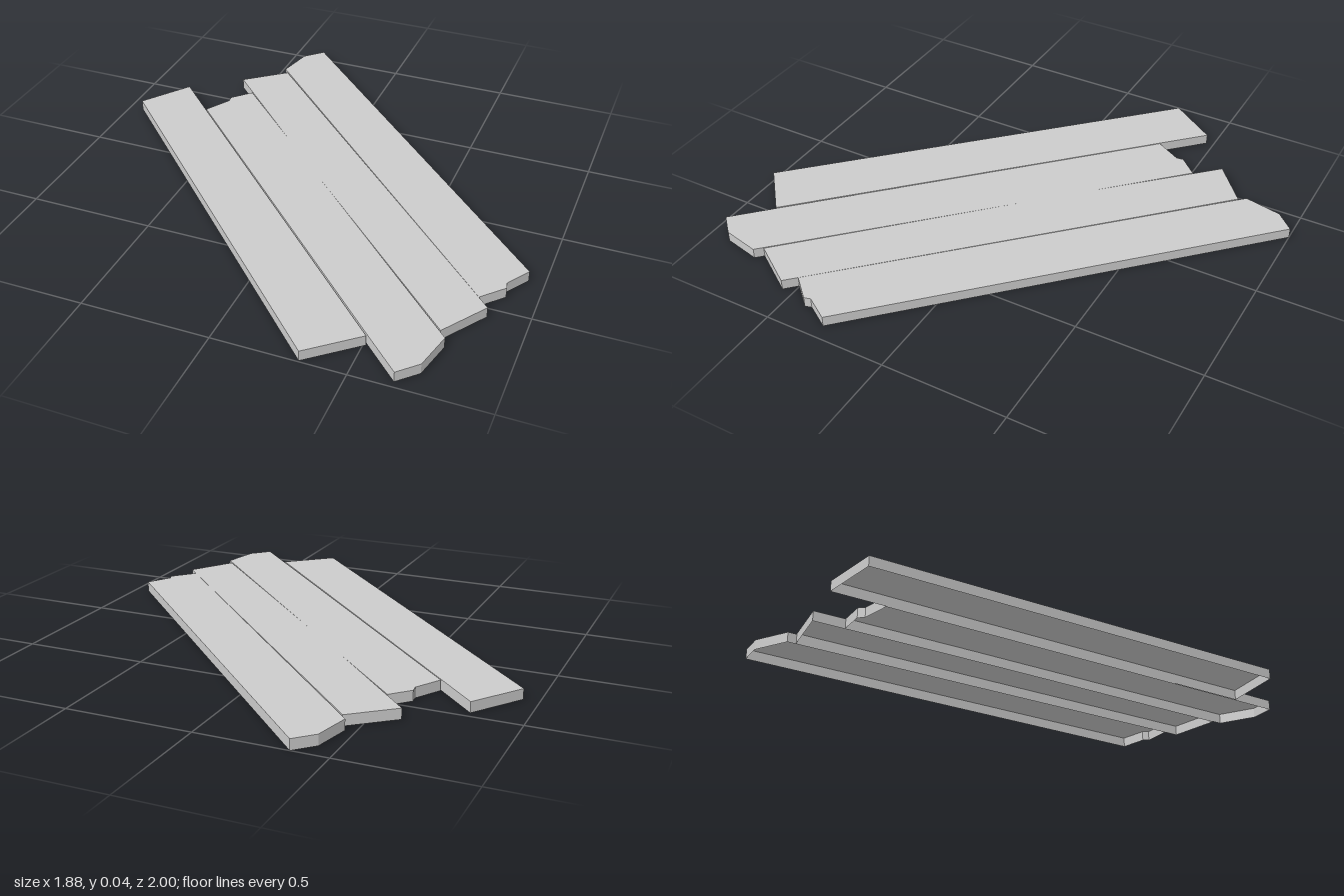
import * as THREE from 'three';

const THICKNESS = 0.042;

// Board outlines as [x, z], each running once around the plank
const planks = {
  outerPlankBack: [
    [-0.36, -1.0], [-0.43, -0.93], [-0.463, -0.78], [0.72, 0.413], [0.808, 0.502],
    [0.887, 0.417], [0.88, 0.39], [0.94, 0.295],
  ],
  innerPlankBack: [
    [-0.442, -0.752], [-0.605, -0.618], [-0.14, -0.145], [0.735, 0.722], [0.852, 0.547],
  ],
  innerPlankFront: [
    [-0.517, -0.523], [-0.587, -0.45], [-0.584, -0.42], [-0.645, -0.317], [0.515, 0.837],
    [0.655, 0.975], [0.725, 0.905], [0.76, 0.753],
  ],
  outerPlankFront: [
    [-0.803, -0.47], [-0.94, -0.277], [0.328, 0.995], [0.51, 0.84], [-0.652, -0.319],
  ],
};

// Top face and side walls only: the underside of each board is open
function plankGeometry(outline) {
  const shape = new THREE.Shape(outline.map(([x, z]) => new THREE.Vector2(x, -z)));
  const solid = new THREE.ExtrudeGeometry(shape, { depth: THICKNESS, bevelEnabled: false });
  const skip = (outline.length - 2) * 3; // the lower cap comes first
  const shell = new THREE.BufferGeometry();
  const positions = solid.attributes.position.array.slice(skip * 3);
  shell.setAttribute('position', new THREE.BufferAttribute(positions, 3));
  shell.rotateX(-Math.PI / 2);
  shell.computeVertexNormals();
  return shell;
}

export function createModel() {
  const group = new THREE.Group();
  group.name = 'plankFloor';
  const grey = new THREE.MeshStandardMaterial({ color: 0xcccccc, side: THREE.DoubleSide });
  grey.name = 'light grey';

  for (const [name, outline] of Object.entries(planks)) {
    const plank = new THREE.Mesh(plankGeometry(outline), grey);
    plank.name = name;
    group.add(plank);
  }
  return group;
}
